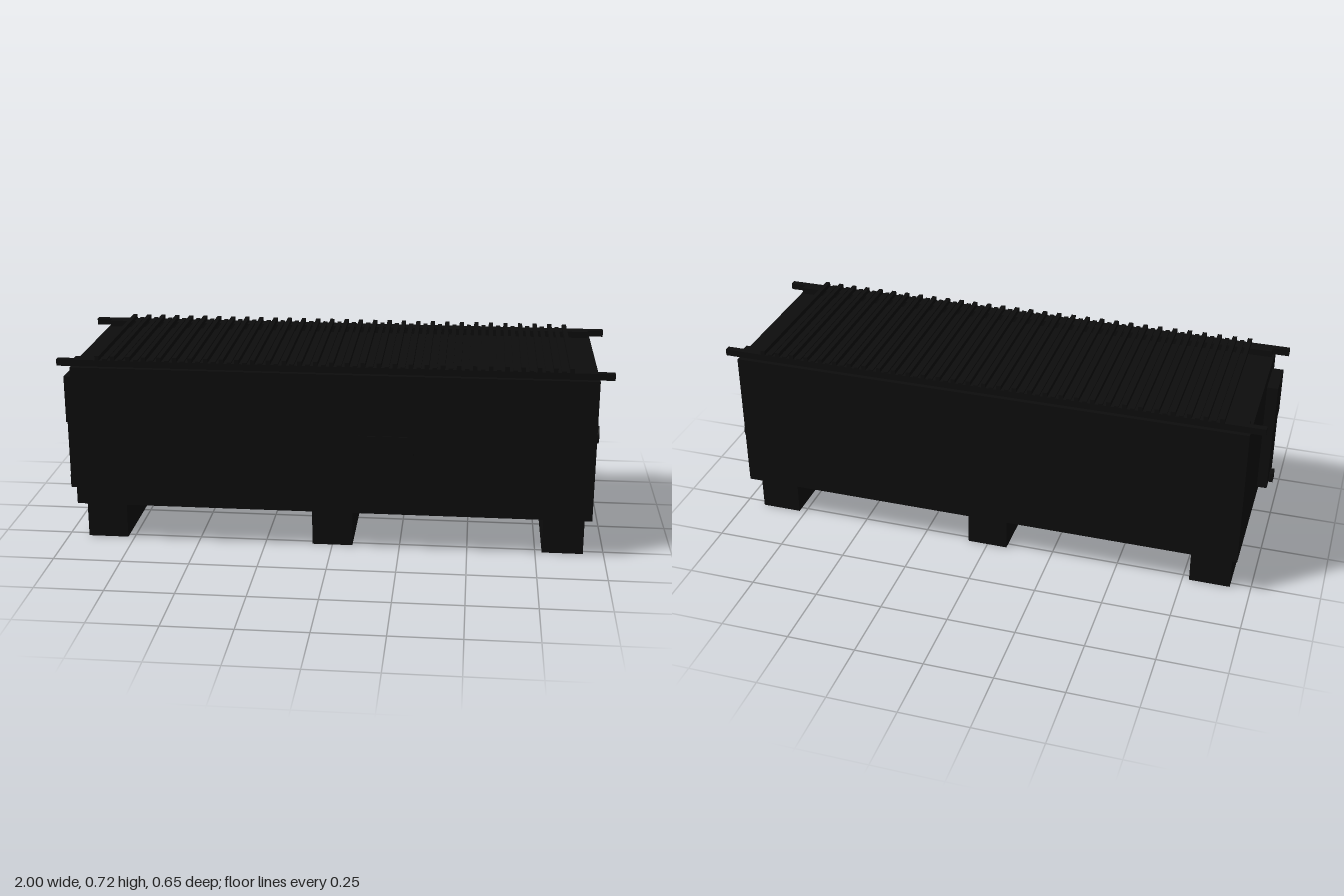
import * as THREE from 'three';

export function createModel() {
  const model = new THREE.Group();
  const black = new THREE.MeshStandardMaterial({ color: 0x0d0d0d });
  black.name = 'black';

  const add = (name, geometry, x, y, z) => {
    const mesh = new THREE.Mesh(geometry, black);
    mesh.name = name;
    mesh.position.set(x, y, z);
    model.add(mesh);
    return mesh;
  };
  // Box given by its minimum and maximum on each axis
  const block = (name, [x0, x1], [y0, y1], [z0, z1]) =>
    add(name, new THREE.BoxGeometry(x1 - x0, y1 - y0, z1 - z0),
      (x0 + x1) / 2, (y0 + y1) / 2, (z0 + z1) / 2);
  // Cylinder lying along x
  const rod = (name, radius, x0, x1, y, z) => {
    const mesh = add(name, new THREE.CylinderGeometry(radius, radius, x1 - x0, 24), (x0 + x1) / 2, y, z);
    mesh.rotation.z = Math.PI / 2;
  };

  // Main box
  block('body', [-0.948, 0.948], [0.15, 0.676], [-0.324, 0.324]);

  // Feet running across the underside
  for (const x of [-0.85, 0, 0.85]) {
    block('foot', [x - 0.075, x + 0.075], [0, 0.15], [-0.274, 0.274]);
  }

  // Long rails that carry the grate, with an inner ledge
  for (const s of [-1, 1]) {
    add('rail', new THREE.BoxGeometry(2, 0.024, 0.024), 0, 0.689, s * 0.297);
    add('railLedge', new THREE.BoxGeometry(1.88, 0.024, 0.026), 0, 0.689, s * 0.272);
  }

  // Grate: tall bars with low bars between them
  const count = 31, pitch = 1.7 / (count - 1);
  for (let i = 0; i < count; i++) {
    const x = -0.85 + i * pitch;
    block('grateBar', [x - 0.008, x + 0.008], [0.7, 0.717], [-0.309, 0.309]);
    if (i < count - 1) {
      const m = x + pitch / 2;
      block('lowGrateBar', [m - 0.008, m + 0.008], [0.7, 0.706], [-0.309, 0.309]);
    }
  }

  // Plate on the front
  block('frontPlate', [0.1, 0.3], [0.35, 0.45], [0.324, 0.327]);

  // Control box and lower duct on one end
  block('controlBox', [-0.988, -0.948], [0.45, 0.625], [0.12, 0.272]);
  block('controlDuct', [-0.985, -0.948], [0.19, 0.45], [0.125, 0.265]);
  block('controlHandle', [-1, -0.948], [0.185, 0.222], [0.18, 0.22]);

  // Drain valve on the other end
  rod('valveStem', 0.018, 0.948, 0.988, 0.305, -0.2);
  rod('valveFlange', 0.035, 0.985, 1, 0.305, -0.2);

  return model;
}
